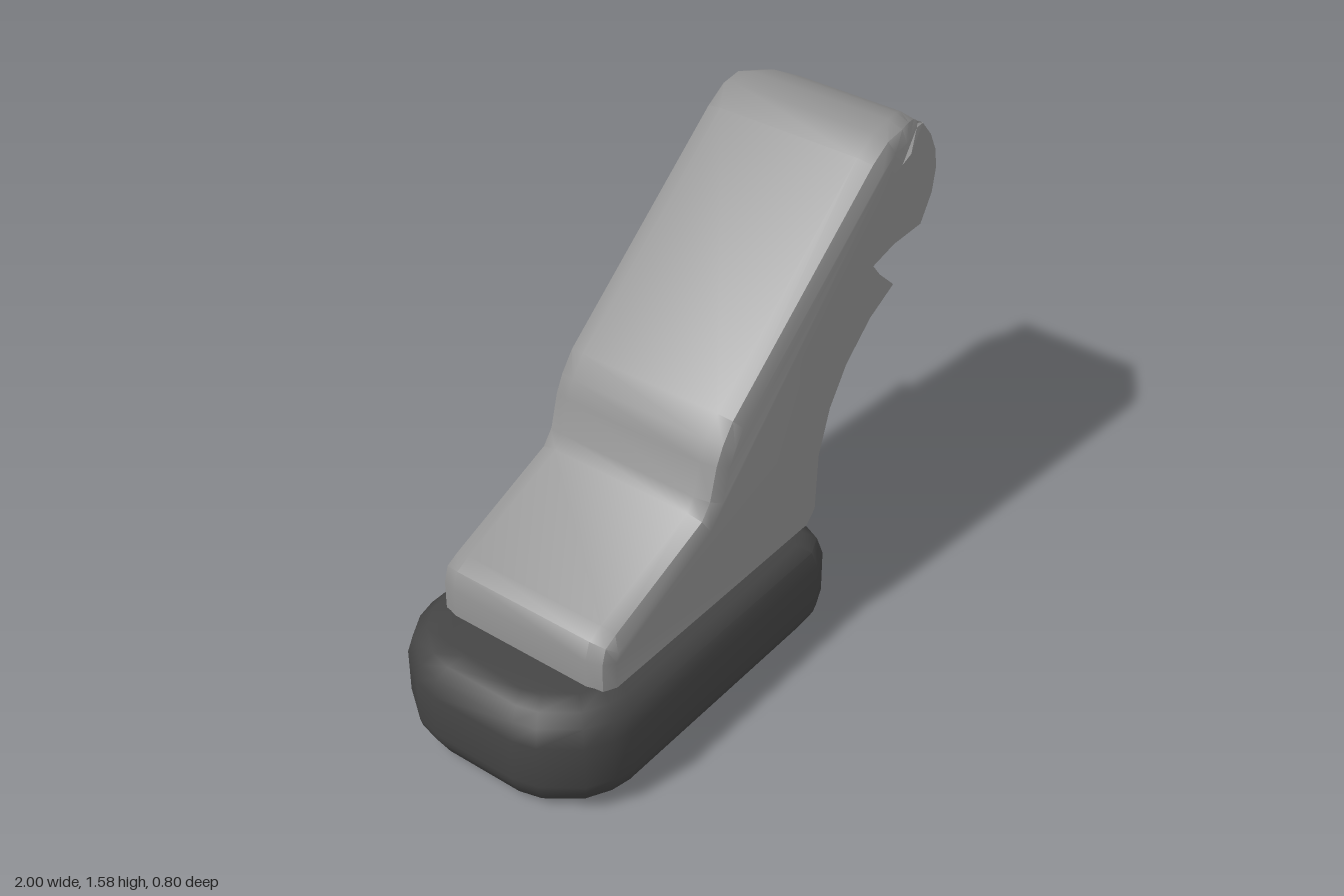
import * as THREE from 'three';
import { toCreasedNormals } from 'three/addons/utils/BufferGeometryUtils.js';

// Skins a stack of counter-clockwise [x, y, z] loops and closes both ends.
function loft(loops, crease) {
  const n = loops[0].length;
  const index = [];
  for (let k = 0; k < loops.length - 1; k++) {
    for (let i = 0; i < n; i++) {
      const a = k * n + i, b = k * n + (i + 1) % n;
      index.push(a, b, b + n, a, b + n, a + n);
    }
  }
  const cap = (loop, offset, flip) => {
    const flat = loop.map(([x, y]) => new THREE.Vector2(x, y));
    for (const [a, b, c] of THREE.ShapeUtils.triangulateShape(flat, [])) {
      index.push(offset + a, offset + (flip ? c : b), offset + (flip ? b : c));
    }
  };
  cap(loops[0], 0, true);
  cap(loops[loops.length - 1], (loops.length - 1) * n, false);
  const geo = new THREE.BufferGeometry();
  geo.setAttribute('position', new THREE.Float32BufferAttribute(loops.flat(2), 3));
  geo.setIndex(index);
  return toCreasedNormals(geo, crease);
}

function baseGeometry() {
  // Half outline of the sole, from the rounded end to the squarer end
  const half = [[-1, 0.15], [-0.98, 0.23], [-0.9, 0.34], [-0.82, 0.385], [-0.75, 0.4],
    [0.16, 0.4], [0.23, 0.37], [0.258, 0.31]];
  const outline = [...half.map(([x, z]) => [x, -z]), ...half.slice().reverse()];
  const levels = [[0, 0.09], [0.03, 0.04], [0.09, 0.007], [0.12, 0], [0.27, 0], [0.33, 0.015], [0.36, 0.05], [0.375, 0.1]];
  const cx = -0.371;
  const loops = levels.map(([y, inset]) => outline.map(([x, z]) =>
    [cx + (x - cx) * (1 - inset / 0.629), z * (1 - inset / 0.4), y]));
  return loft(loops, 0.75).rotateX(-Math.PI / 2);
}

function bodyGeometry() {
  // Upper edge (bevelled), then the round side opening, then the underside
  const upper = [[-0.78, 0.37], [-0.78, 0.47], [-0.76, 0.53], [-0.71, 0.556], [-0.31, 0.71],
    [-0.28, 0.75], [-0.25, 0.86], [-0.22, 0.92], [-0.17, 0.985], [0.5, 1.52], [0.58, 1.567],
    [0.66, 1.577], [0.74, 1.558], [0.83, 1.51], [0.9, 1.455]];
  const opening = [[0.7, 1.465], [0.64, 1.457], [0.57, 1.43], [0.51, 1.34], [0.488, 1.26],
    [0.502, 1.18], [0.55, 1.12]];
  const under = [[0.63, 1.045], [0.51, 0.985], [0.39, 0.88], [0.31, 0.76], [0.26, 0.61],
    [0.25, 0.41], [0.21, 0.37]];
  const outline = [...upper, ...opening, ...under];
  const last = upper.length - 1;
  const insetLoop = outline.map(([x, y], i) => {
    if (i >= last) return [x, y];
    const p = outline[Math.max(i - 1, 0)], q = outline[i + 1];
    const tx = q[0] - p[0], ty = q[1] - p[1], l = Math.hypot(tx, ty);
    const b = i === last - 1 ? 0.03 : 0.055;
    return [x + ty / l * b, y - tx / l * b];
  });
  const midLoop = outline.map(([x, y], i) => [0, 1].map((k) =>
    [x, y][k] + (insetLoop[i][k] - [x, y][k]) * 0.28));
  // The hood narrows towards its tip
  const taper = (x) => 0.095 * THREE.MathUtils.clamp((x - 0.68) / 0.22, 0, 1);
  const layer = (loop, z) => loop.map(([x, y], i) =>
    [x, y, Math.sign(z) * (Math.abs(z) - taper(outline[i][0]))]).reverse();
  return loft([layer(insetLoop, -0.32), layer(midLoop, -0.3), layer(outline, -0.25),
    layer(outline, 0.25), layer(midLoop, 0.3), layer(insetLoop, 0.32)], 0.8);
}

function jointGeometry() {
  // Narrow rounded joint filling the opening
  const outline = [[0.45, 1.1], [0.63, 1.045], [0.78, 1.078], [0.93, 1.08], [0.985, 1.17],
    [1, 1.25], [0.99, 1.32], [0.955, 1.39], [0.9, 1.455], [0.83, 1.495], [0.7, 1.5], [0.45, 1.4]];
  return loft([-0.222, 0.222].map((z) => outline.map(([x, y]) => [x, y, z])), 0.8);
}

export function createModel() {
  const grey = new THREE.MeshStandardMaterial({ color: 0x919191 });
  grey.name = 'mid grey';
  const dark = new THREE.MeshStandardMaterial({ color: 0x444444 });
  dark.name = 'dark grey';

  const group = new THREE.Group();
  const add = (name, geometry, material) => {
    const mesh = new THREE.Mesh(geometry, material);
    mesh.name = name;
    group.add(mesh);
  };
  add('base', baseGeometry(), dark);
  add('body', bodyGeometry(), grey);
  add('joint', jointGeometry(), grey);
  return group;
}
